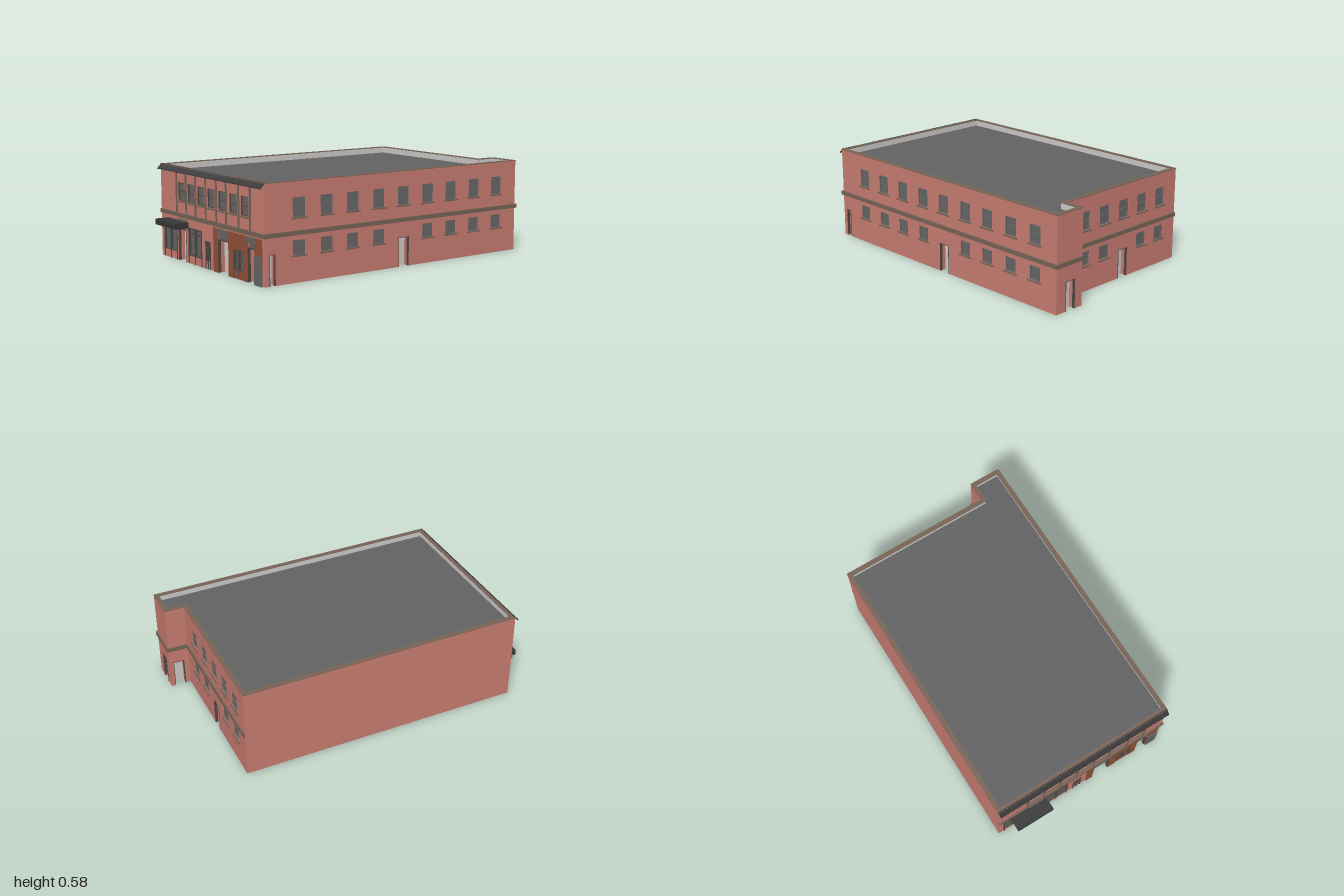
import * as THREE from 'three';

const mat = (name, color, side = THREE.FrontSide) => {
  const m = new THREE.MeshStandardMaterial({ color, side });
  m.name = name;
  return m;
};
const M = {
  brick: mat('red brick', 0xc87d71),
  trim: mat('brown stone trim', 0x776456),
  glass: mat('grey glass', 0x666667),
  frame: mat('dark frame', 0x4e4843),
  dark: mat('charcoal', 0x383838),
  rust: mat('rust cladding', 0x925138),
  pale: mat('pale plaster', 0xcdccca, THREE.DoubleSide),
  roof: mat('roof grey', 0x626264),
};

const H = 0.572, T = 0.02, RECESS = 0.045;
const X0 = -0.595, X1 = 0.585, ZF = 0.91, ZB = -0.863, TX = 0.38, TZ = -0.99;

function add(parent, name, geo, material) {
  const m = new THREE.Mesh(geo, material);
  m.name = name;
  parent.add(m);
  return m;
}
// Box given by its limits on each axis
function box(parent, name, material, x0, x1, y0, y1, z0, z1) {
  const m = add(parent, name, new THREE.BoxGeometry(x1 - x0, y1 - y0, z1 - z0), material);
  m.position.set((x0 + x1) / 2, (y0 + y1) / 2, (z0 + z1) / 2);
  return m;
}

// Wall outline with door notches along the ground
function wallShape(u0, u1, doors) {
  const s = new THREE.Shape();
  s.moveTo(u0, 0);
  for (const d of [...doors].sort((a, b) => a.a - b.a)) {
    s.lineTo(d.a, 0); s.lineTo(d.a, d.top); s.lineTo(d.b, d.top); s.lineTo(d.b, 0);
  }
  s.lineTo(u1, 0); s.lineTo(u1, H); s.lineTo(u0, H);
  return s;
}

// Recessed glazing with border, vertical bars and rails
function addWindow(g, { a, b, y0, y1, bars = [], rails = [], f = 0.003, front = -0.004, foot = y0, sash = M.glass, sill }) {
  box(g, 'windowGlass', M.glass, a, b, y0, y1, -0.018, -0.012);
  for (const x of [a + f / 2, b - f / 2, ...bars]) box(g, 'windowBar', sash, x - f / 2, x + f / 2, foot, y1, -0.012, front);
  for (const y of [y0 + f / 2, y1 - f / 2, ...rails]) box(g, 'windowRail', sash, a, b, y - f / 2, y + f / 2, -0.012, front);
  if (sill) box(g, 'windowSill', M.trim, a - 0.01, b + 0.01, y0 - 0.008, y0, -0.01, 0.008);
}

// Door set back between brick jambs
function addDoor(g, { a, b, top, leaf = top }) {
  const t = 0.006;
  box(g, 'doorLeaf', M.pale, a, b, 0, top, -RECESS, -RECESS + 0.004);
  for (const [p, q] of [[a - t, a], [b, b + t]]) box(g, 'doorJamb', M.brick, p, q, 0, top, -RECESS, -T);
  box(g, 'doorHead', M.pale, a - t, b + t, top, top + t, -RECESS, -T);
  for (const [p, q] of [[a, a + 0.003], [b - 0.003, b]]) box(g, 'doorFrame', M.frame, p, q, 0, leaf, -0.015, 0.002);
  box(g, 'doorFrameTop', M.frame, a, b, leaf - 0.003, leaf, -0.015, 0.002);
}

// Wall facing local +z; u runs to the right seen from outside
function buildWall(root, name, angle, dist, u0, u1, { windows = [], doors = [], lining = [u0, u1], band } = {}) {
  const pivot = new THREE.Group(), g = new THREE.Group();
  pivot.name = name;
  g.name = name + 'Parts';
  pivot.rotation.y = angle;
  g.position.z = dist;
  pivot.add(g);
  root.add(pivot);
  const s = wallShape(u0, u1, doors);
  for (const w of windows) {
    const h = new THREE.Path();
    h.moveTo(w.a, w.y0); h.lineTo(w.a, w.y1); h.lineTo(w.b, w.y1); h.lineTo(w.b, w.y0);
    s.holes.push(h);
  }
  add(g, 'brickWall', new THREE.ExtrudeGeometry(s, { depth: T, bevelEnabled: false }), M.brick).position.z = -T;
  add(g, 'wallLining', new THREE.ShapeGeometry(wallShape(...lining, doors)), M.pale).position.z = -T - 0.001;
  windows.forEach((w) => addWindow(g, w));
  doors.forEach((d) => addDoor(g, d));
  if (band) box(g, 'stoneBand', M.trim, band[0], band[1], 0.271, 0.296, -0.005, 0.01);
  return g;
}

// Standard windows centred on u
const upper = (u) => ({ a: u - 0.042, b: u + 0.042, y0: 0.37, y1: 0.482, rails: [0.426], sill: true });
const lower = (u) => ({ a: u - 0.041, b: u + 0.041, y0: 0.157, y1: 0.242, sill: true });

function buildFront(root) {
  const shop = (a, b, y1, rail) => ({
    a, b, y0: 0.05, y1, bars: [(a + b) / 2], rails: [rail], foot: 0, f: 0.006, front: 0.004, sash: M.frame,
  });
  const windows = [-0.337, -0.223, -0.105, 0.014, 0.138, 0.26, 0.383]
    .map((u) => ({ ...upper(u), sill: false, f: 0.004, sash: M.frame }));
  windows.push(shop(-0.56, -0.395, 0.219, 0.185), shop(-0.255, -0.097, 0.219, 0.185),
    shop(-0.053, 0.004, 0.166, 0.13), shop(0.265, 0.37, 0.166, 0.13));
  const doors = [[-0.38, -0.283], [0.093, 0.212], [0.415, 0.492]]
    .map(([a, b]) => ({ a, b, top: 0.258, leaf: 0.196 }));
  const g = buildWall(root, 'frontWall', 0, ZF, X0, X1, { windows, doors, band: [X0, 0.597] });

  // Glazing and header over each entrance
  for (const { a, b } of doors) {
    box(g, 'transomGlass', M.glass, a, b, 0.196, 0.23, -0.02, -0.006);
    box(g, 'transomRail', M.frame, a, b, 0.194, 0.199, -0.012, 0.004);
    box(g, 'headerFrame', M.trim, a - 0.006, b + 0.006, 0.228, 0.262, -0.02, 0.009);
    box(g, 'headerPanel', M.glass, a - 0.002, b + 0.002, 0.232, 0.257, 0.008, 0.011);
  }
  // Rust cladding around the right-hand shop
  for (const [a, b, y0, y1] of [[0.045, 0.093, 0, 0.262], [0.212, 0.265, 0, 0.262], [0.37, 0.415, 0, 0.262],
    [0.492, 0.562, 0, 0.262], [0.265, 0.37, 0.166, 0.262], [0.265, 0.37, 0, 0.05]])
    box(g, 'rustCladding', M.rust, a, b, y0, y1, 0, a === 0.265 ? 0.003 : 0.006);
  // Corner board
  box(g, 'cornerBoard', M.glass, 0.496, 0.569, 0, 0.166, 0.006, 0.013);
  // Pilasters and long sill
  for (const u of [-0.393, -0.277, -0.163, -0.043, 0.078, 0.189, 0.323, 0.445])
    box(g, 'pilaster', M.trim, u - 0.006, u + 0.006, 0.295, 0.55, 0, 0.006);
  box(g, 'longSill', M.trim, -0.39, 0.435, 0.361, 0.369, 0, 0.01);
  // Awning
  box(g, 'awning', M.dark, -0.51, -0.26, 0.213, 0.248, 0, 0.09);

  // Ribbed eave tiles
  const eave = new THREE.Group();
  eave.name = 'tiledEave';
  eave.position.set((X0 + X1) / 2, 0.562, 0.01);
  eave.rotation.x = 0.8;
  g.add(eave);
  const W = X1 - X0, n = 60;
  box(eave, 'eaveSheet', M.dark, -W / 2, W / 2, -0.002, 0.001, -0.021, 0.022);
  const rib = new THREE.CylinderGeometry(0.004, 0.004, 0.043, 6).rotateX(Math.PI / 2);
  for (let i = 0; i < n; i++)
    add(eave, 'eaveTile', rib, M.dark).position.set(-W / 2 + (i + 0.5) * W / n, 0.001, 0.0005);
}

function buildRoof(root) {
  // Footprint moved inward by i
  const outline = (i, Kind = THREE.Shape) => {
    const s = new Kind();
    [[X0 + i, ZF - i], [X1 - i, ZF - i], [X1 - i, TZ + i], [TX + i, TZ + i], [TX + i, ZB + i], [X0 + i, ZB + i]]
      .forEach(([x, z], k) => (k ? s.lineTo(x, -z) : s.moveTo(x, -z)));
    s.closePath();
    return s;
  };
  // Grey deck above a pale ceiling
  for (const [name, y, m] of [['roofDeck', 0.535, M.roof], ['ceiling', 0.532, M.pale]]) {
    const sheet = add(root, name, new THREE.ShapeGeometry(outline(T)), m);
    sheet.rotation.x = -Math.PI / 2;
    sheet.position.y = y;
  }
  const ring = outline(-0.002);
  ring.holes.push(outline(0.027, THREE.Path));
  const cap = add(root, 'parapetCap', new THREE.ExtrudeGeometry(ring, { depth: 0.004, bevelEnabled: false }), M.trim);
  cap.rotation.x = -Math.PI / 2;
  cap.position.y = H;
}

export function createModel() {
  const root = new THREE.Group();
  root.name = 'cornerShopBuilding';
  buildFront(root);

  // Right side (u = -z)
  const rightUpper = [0.681, 0.491, 0.306, 0.116, -0.069, -0.259, -0.444, -0.634, -0.824];
  buildWall(root, 'rightWall', Math.PI / 2, X1, -ZF, -TZ, {
    windows: [...rightUpper.map((z) => upper(-z)), ...rightUpper.filter((z) => z !== -0.069).map((z) => lower(-z))],
    doors: [{ a: -0.879, b: -0.84, top: 0.178 }, { a: 0.034, b: 0.112, top: 0.178 }],
    band: [-0.92, 1.0],
  });

  // Back (u = -x)
  const backUpper = [0.22, 0.053, -0.115, -0.28, -0.447];
  buildWall(root, 'backWall', Math.PI, -ZB, -TX, -X0, {
    windows: [...backUpper.map((x) => upper(-x)), ...backUpper.filter((x) => x !== -0.115).map((x) => lower(-x))],
    doors: [{ a: 0.076, b: 0.154, top: 0.178 }],
    lining: [-TX - T, -X0],
    band: [-TX, -X0],
  });

  // Rear projection and plain left side
  buildWall(root, 'projectionBack', Math.PI, -TZ, -X1, -TX, {
    doors: [{ a: -0.512, b: -0.438, top: 0.178 }], band: [-0.595, -TX + 0.01],
  });
  buildWall(root, 'projectionSide', -Math.PI / 2, -TX, TZ, ZB, {
    doors: [{ a: -0.965, b: -0.895, top: 0.178 }], lining: [TZ, ZB + T], band: [-1.0, ZB],
  });
  buildWall(root, 'leftWall', -Math.PI / 2, -X0, ZB, ZF);

  buildRoof(root);
  return root;
}
